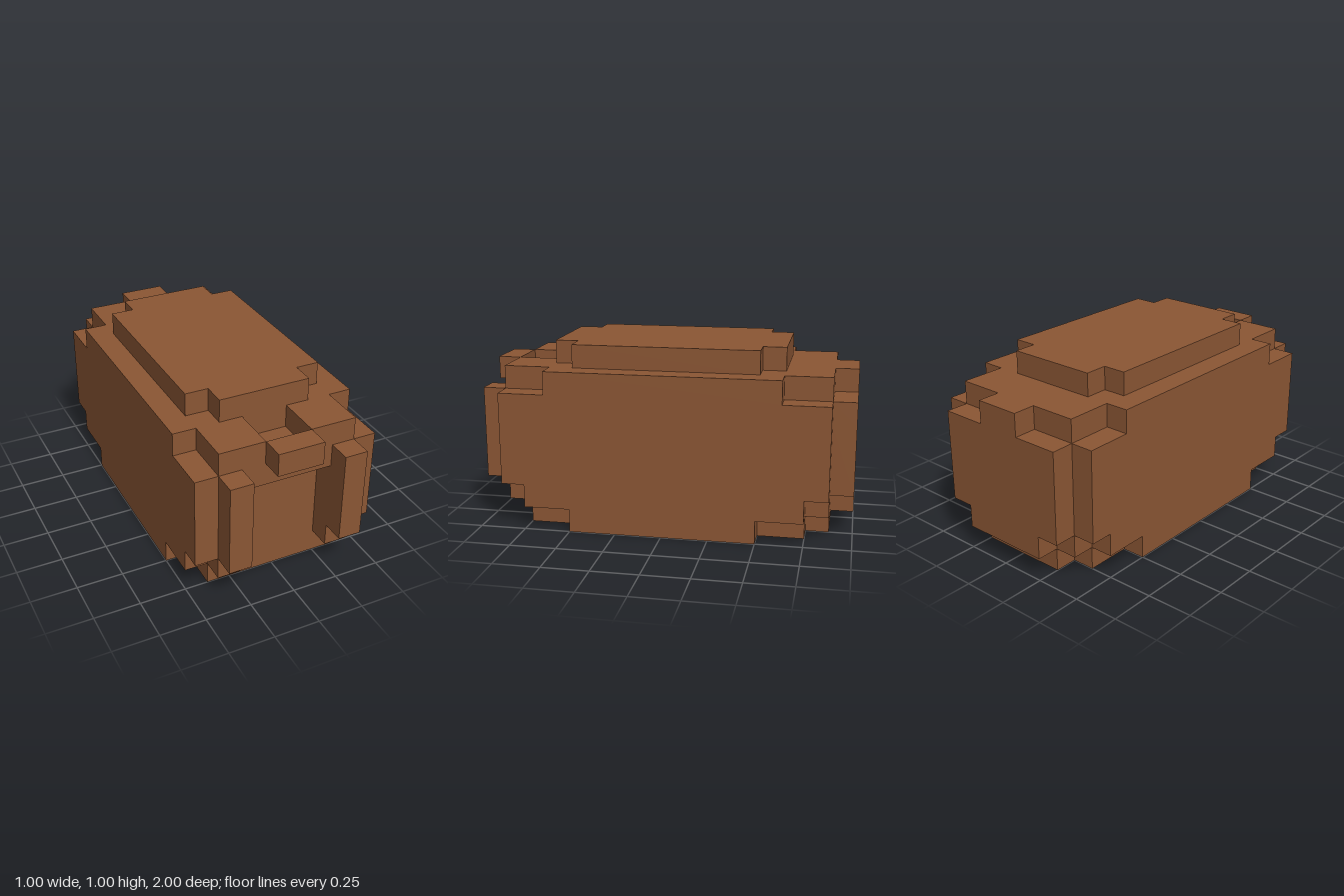
import * as THREE from 'three';

const U = 0.125; // size of one block

export function createModel() {
  const group = new THREE.Group();
  group.name = 'blockBarrel';
  const brown = new THREE.MeshStandardMaterial({ color: 0x8b5634 });
  brown.name = 'brown';

  // One horizontal layer: half outline (x, z) from front to back, mirrored in x
  function addLayer(name, y0, y1, half) {
    const mirrored = half.map(([x, z]) => [-x, z]).reverse();
    const points = [...half, ...mirrored].map(([x, z]) => new THREE.Vector2(x * U, -z * U));
    const geometry = new THREE.ExtrudeGeometry(new THREE.Shape(points), {
      depth: (y1 - y0) * U, bevelEnabled: false,
    });
    geometry.rotateX(-Math.PI / 2);
    geometry.translate(0, y0 * U, 0);
    const mesh = new THREE.Mesh(geometry, brown);
    mesh.name = name;
    group.add(mesh);
  }

  // Base and lower step
  addLayer('base', 0, 1, [[3, 6], [3, 4], [4, 4], [4, -4], [3, -4], [3, -6], [2, -6], [2, -7]]);
  addLayer('lowerStep', 1, 2, [[2, 6], [2, 7], [3, 7], [3, 6], [4, 6], [4, -6], [3, -6], [3, -7], [2, -7], [2, -8]]);

  // Main body with front posts and the recess between them
  addLayer('body', 2, 5, [[2, 6], [2, 8], [3, 8], [3, 7], [4, 7], [4, -7], [3, -7], [3, -8]]);
  addLayer('bodyTop', 5, 6, [[2, 7], [2, 8], [3, 8], [3, 7], [4, 7], [4, -7], [3, -7], [3, -8]]);

  // Shoulder with front notch and rear bump
  addLayer('shoulder', 6, 7, [[1, 5], [1, 7], [3, 7], [3, 5], [4, 5], [4, -5], [3, -5], [3, -7], [1, -7], [1, -8]]);

  // Raised top
  addLayer('topPlate', 7, 8, [[2, 5], [2, 4], [3, 4], [3, -4], [2, -4], [2, -5]]);

  // Front lip over the recess
  const lip = new THREE.Mesh(new THREE.BoxGeometry(2 * U, U, U), brown);
  lip.position.set(0, 6.5 * U, 7.5 * U);
  lip.name = 'frontLip';
  group.add(lip);

  return group;
}
